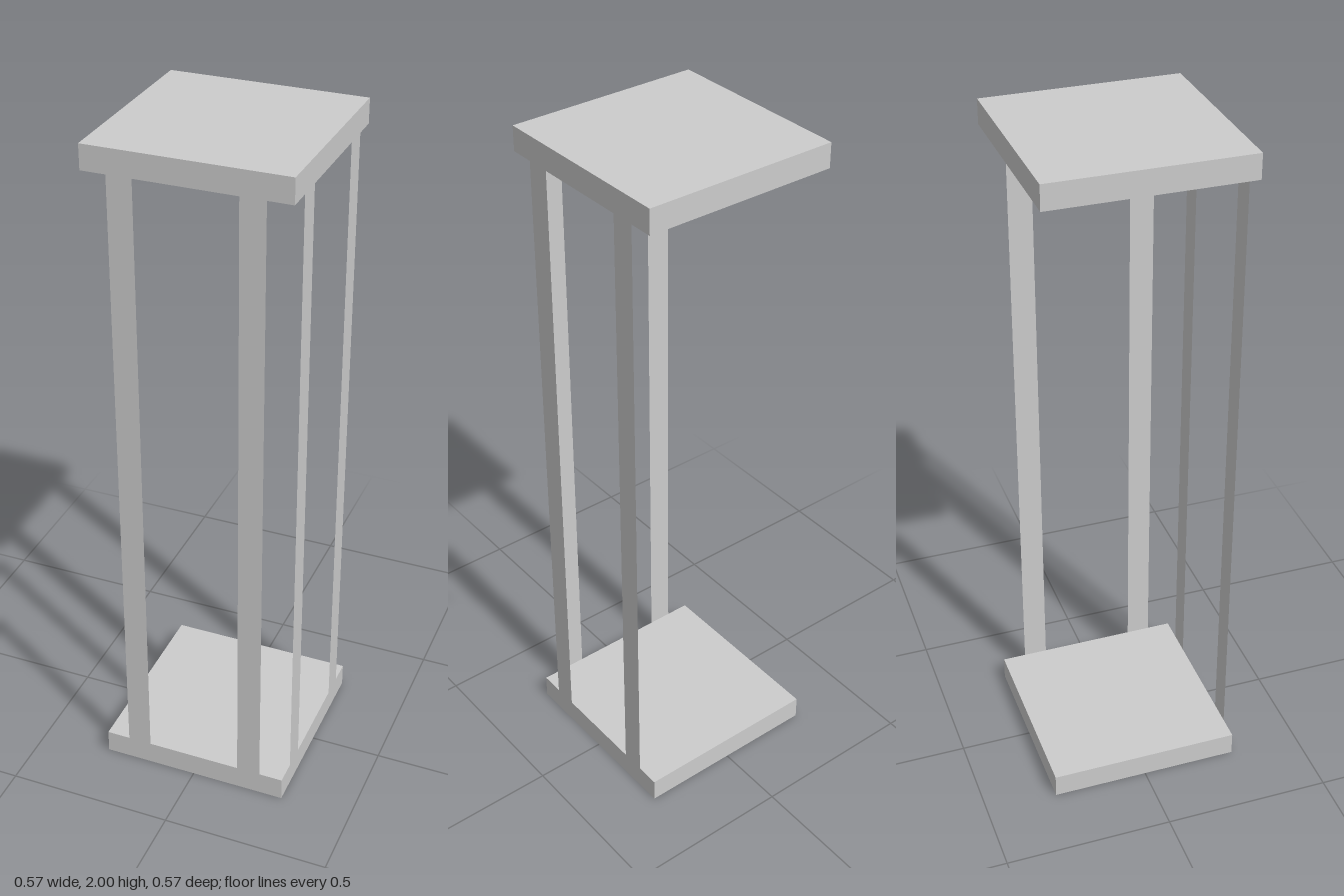
import * as THREE from 'three';

const U = 1 / 14;          // module unit: 28 units tall, 8 wide
const HALF = 4 * U;
const HEIGHT = 28 * U;

export function createModel() {
  const group = new THREE.Group();
  group.name = 'openFrameStand';
  const material = new THREE.MeshStandardMaterial({ color: 0xcccccc, flatShading: true });
  const thinMaterial = material.clone();
  thinMaterial.side = THREE.DoubleSide;

  // Square base and top slabs
  const slab = new THREE.BoxGeometry(2 * HALF, U, 2 * HALF);
  for (const [name, y] of [['basePlate', U / 2], ['topPlate', HEIGHT - U / 2]]) {
    const plate = new THREE.Mesh(slab, material);
    plate.name = name;
    plate.position.y = y;
    group.add(plate);
  }

  // Paper-thin upright strips, flush with the slabs on the front (+z) and +x sides only
  const strip = new THREE.PlaneGeometry(U, HEIGHT - 2 * U);
  for (const [side, turn] of [['front', 0], ['left', Math.PI / 2]]) {
    const pair = new THREE.Group();
    pair.name = side + 'Uprights';
    pair.rotation.y = turn;
    for (const s of [-1, 1]) {
      const upright = new THREE.Mesh(strip, thinMaterial);
      upright.name = side + 'Upright';
      upright.position.set(s * 2.5 * U, HEIGHT / 2, HALF);
      pair.add(upright);
    }
    group.add(pair);
  }
  return group;
}
